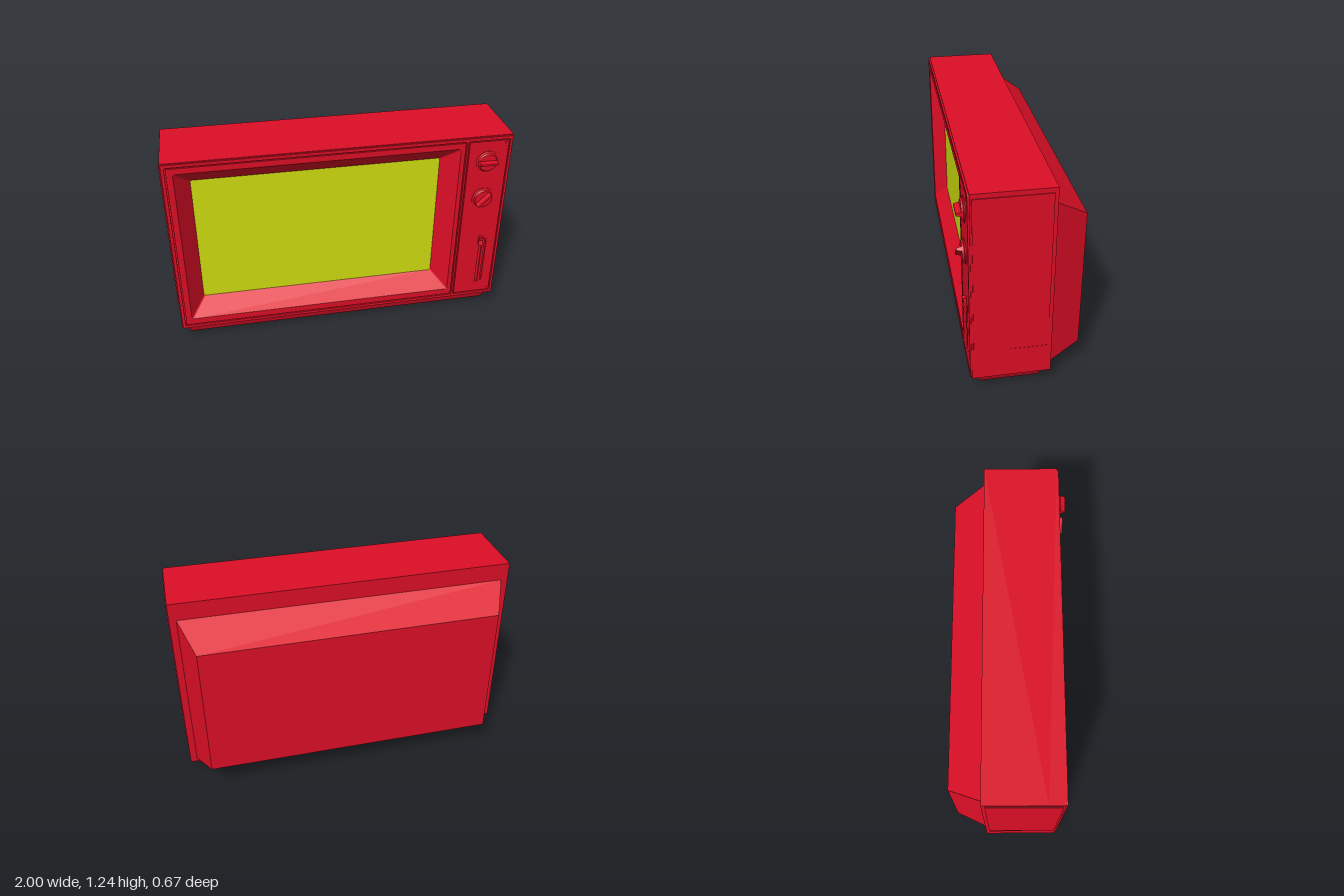
import * as THREE from 'three';

const red = new THREE.MeshStandardMaterial({ color: 0xdd0e26 });
const yellow = new THREE.MeshStandardMaterial({ color: 0xd0dd10 });

// Counter-clockwise rounded rectangle outline
function outline(x0, x1, y0, y1, r = 0) {
  if (!r) return [[x0, y0], [x1, y0], [x1, y1], [x0, y1]].map(p => new THREE.Vector2(...p));
  const pts = [];
  [[x1 - r, y0 + r, -1], [x1 - r, y1 - r, 0], [x0 + r, y1 - r, 1], [x0 + r, y0 + r, 2]].forEach(([cx, cy, q]) => {
    for (let i = 0; i <= 4; i++) {
      const a = (q + i / 4) * Math.PI / 2;
      pts.push(new THREE.Vector2(cx + r * Math.cos(a), cy + r * Math.sin(a)));
    }
  });
  return pts;
}

// Faceted skin through matching outlines, each given as [points, z]
function loft(sections, capped) {
  const rings = sections.map(([pts, z]) => pts.map(p => [p.x, p.y, z]));
  const pos = [], tri = (...v) => v.forEach(p => pos.push(...p));
  const n = rings[0].length;
  for (let i = 0; i < rings.length - 1; i++) {
    for (let j = 0; j < n; j++) {
      const k = (j + 1) % n;
      const a = rings[i][j], b = rings[i][k], c = rings[i + 1][k], d = rings[i + 1][j];
      tri(a, b, c);
      tri(a, c, d);
    }
  }
  if (capped) {
    const first = rings[0], last = rings[rings.length - 1];
    for (let j = 1; j < n - 1; j++) {
      tri(first[0], first[j + 1], first[j]);
      tri(last[0], last[j], last[j + 1]);
    }
  }
  const g = new THREE.BufferGeometry();
  g.setAttribute('position', new THREE.Float32BufferAttribute(pos, 3));
  g.computeVertexNormals();
  return g;
}

// Flat plate between two depths, with optional holes
function plate(pts, z0, z1, holes = []) {
  const shape = new THREE.Shape(pts);
  shape.holes = holes.map(h => new THREE.Path(h));
  return new THREE.ExtrudeGeometry(shape, { depth: z1 - z0, bevelEnabled: false }).translate(0, 0, z0);
}

function block(x0, x1, y0, y1, z0, z1) {
  return new THREE.BoxGeometry(x1 - x0, y1 - y0, z1 - z0)
    .translate((x0 + x1) / 2, (y0 + y1) / 2, (z0 + z1) / 2);
}

function createKnob(name, y, angle) {
  const knob = new THREE.Group();
  knob.name = name;
  // Skirted dial turned around the z axis
  const profile = [[0.068, 0], [0.068, 0.004], [0.058, 0.008], [0.052, 0.018], [0, 0.018]]
    .map(p => new THREE.Vector2(...p));
  const dial = new THREE.Mesh(new THREE.LatheGeometry(profile, 32).rotateX(Math.PI / 2).toNonIndexed(), red);
  dial.geometry.computeVertexNormals();
  dial.name = name + 'Dial';
  // Tapered finger grip across the dial
  const grip = new THREE.Mesh(loft([
    [outline(-0.054, 0.054, -0.014, 0.014), 0.012],
    [outline(-0.052, 0.052, -0.006, 0.006), 0.046],
  ], true), red);
  grip.name = name + 'Grip';
  grip.rotation.z = angle;
  knob.add(dial, grip);
  knob.position.set(0.85, y, 0.291);
  return knob;
}

export function createModel() {
  const tv = new THREE.Group();
  tv.name = 'television';
  const add = (name, geometry, material = red) => {
    const mesh = new THREE.Mesh(geometry, material);
    mesh.name = name;
    tv.add(mesh);
    return mesh;
  };

  // Cabinet with a recess for the screen
  const opening = outline(-0.93, 0.685, 0.165, 1.17, 0.01);
  add('cabinet', block(-0.995, 0.995, 0.095, 1.235, -0.15, 0.195));
  add('cabinetFront', plate(outline(-0.995, 0.995, 0.095, 1.235), 0.195, 0.282, [opening]));

  // Raised front rim, screen bezel and control panel separated by grooves
  add('frontRim', plate(outline(-0.99, 0.99, 0.1, 1.23, 0.008), 0.28, 0.292, [
    outline(-0.972, 0.718, 0.118, 1.212, 0.006), outline(0.728, 0.976, 0.118, 1.212, 0.006),
  ]));
  add('screenBezel', plate(outline(-0.965, 0.711, 0.125, 1.205, 0.006), 0.28, 0.291, [opening]));
  const slots = [outline(0.867, 0.885, 0.2, 0.54), outline(0.9, 0.911, 0.21, 0.53)];
  add('controlPanel', plate(outline(0.735, 0.969, 0.125, 1.205, 0.006), 0.28, 0.291, slots));

  // Sloping screen surround and screen
  const glass = outline(-0.845, 0.59, 0.27, 1.08, 0.01);
  add('screenSurround', loft([[opening, 0.291], [glass, 0.207]], false));
  add('screen', plate(glass, 0.196, 0.207), yellow);

  // Tapered rear housing
  add('rearHousing', loft([
    [outline(-0.875, 0.875, 0.175, 1.005), -0.335],
    [outline(-0.955, 0.955, 0.118, 1.13), -0.15],
  ], true));

  // Tapered plinth
  add('plinth', loft([
    [outline(-0.942, 0.942, -0.235, 0.09), 0.025],
    [outline(-0.975, 0.975, -0.262, 0.115), 0.096],
  ], true).rotateX(-Math.PI / 2));

  for (const [side, s] of [['left', 1], ['right', -1]]) {
    // Foot rail
    add(side + 'Foot', block(s * 0.89 - 0.011, s * 0.89 + 0.011, 0, 0.027, -0.075, 0.21));
    // Raised side panel and the small plate below it
    add(side + 'SidePanel', block(s * 0.997 - 0.003, s * 0.997 + 0.003, 0.28, 1.208, -0.13, 0.272));
    add(side + 'SidePlate', block(s * 0.994 - 0.003, s * 0.994 + 0.003, 0.218, 0.276, -0.13, 0.072));
  }

  // Tuning knobs
  tv.add(createKnob('upperKnob', 1.075, 0), createKnob('lowerKnob', 0.83, Math.PI / 4));

  // Slider with a waisted thumb piece, and its level marker
  const thumb = new THREE.Shape([[0.28, 0.5], [0.314, 0.496], [0.304, 0.525], [0.314, 0.554], [0.28, 0.55]]
    .map(p => new THREE.Vector2(...p)));
  add('sliderThumb', new THREE.ExtrudeGeometry(thumb, { depth: 0.028, bevelEnabled: false })
    .rotateY(-Math.PI / 2).translate(0.884, 0, 0));
  add('levelMarker', block(0.898, 0.913, 0.515, 0.525, 0.28, 0.294));

  // Panel screws
  for (const y of [0.14, 1.19]) {
    add('panelScrew', new THREE.CylinderGeometry(0.009, 0.009, 0.004, 12)
      .rotateX(Math.PI / 2).translate(0.956, y, 0.292));
  }
  return tv;
}
